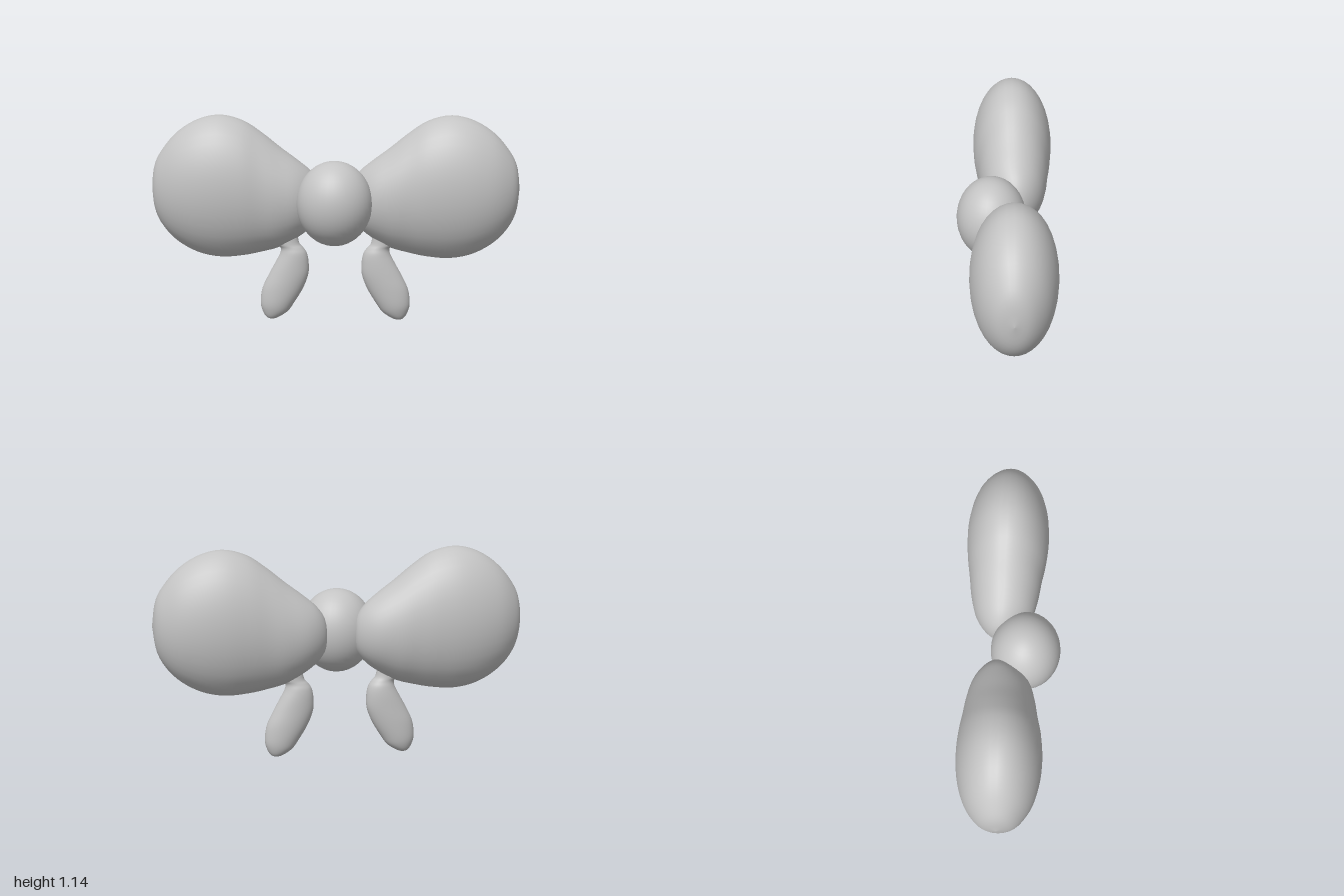
import * as THREE from 'three';

// Smooth loft through oval sections [t, aMin, aMax, bMin, bMax].
// place(t, a, b) gives the point; flip reverses the winding.
function loft(sections, place, flip, steps = 44, sides = 36) {
  const curve = (i, j) => new THREE.CatmullRomCurve3(
    sections.map((s) => new THREE.Vector3(s[0], s[i], s[j])), false, 'catmullrom', 0.5);
  const aCurve = curve(1, 2), bCurve = curve(3, 4);
  const pos = [], index = [];
  for (let i = 0; i <= steps; i++) {
    const p = aCurve.getPoint(i / steps), q = bCurve.getPoint(i / steps);
    for (let j = 0; j < sides; j++) {
      const w = (j / sides) * Math.PI * 2;
      pos.push(...place(p.x,
        (p.y + p.z) / 2 + ((p.z - p.y) / 2) * Math.cos(w),
        (q.y + q.z) / 2 + ((q.z - q.y) / 2) * Math.sin(w)));
    }
  }
  for (let i = 0; i < steps; i++) {
    for (let j = 0; j < sides; j++) {
      const a = i * sides + j, b = i * sides + (j + 1) % sides;
      const c = a + sides, d = b + sides;
      if (flip) index.push(a, c, b, b, c, d);
      else index.push(a, b, c, b, d, c);
    }
  }
  const geo = new THREE.BufferGeometry();
  geo.setAttribute('position', new THREE.Float32BufferAttribute(pos, 3));
  geo.setIndex(index);
  geo.computeVertexNormals();
  return geo;
}

// Lobe sections along x: x, bottom, top, back, front
const lobeSections = [
  [0.075, 0.67, 0.67, -0.07, -0.07],
  [0.085, 0.59, 0.76, -0.115, -0.01],
  [0.13, 0.525, 0.83, -0.165, 0.05],
  [0.2, 0.47, 0.89, -0.205, 0.105],
  [0.3, 0.415, 0.965, -0.23, 0.135],
  [0.4, 0.387, 1.045, -0.243, 0.152],
  [0.5, 0.367, 1.11, -0.257, 0.172],
  [0.62, 0.358, 1.14, -0.264, 0.181],
  [0.74, 0.38, 1.117, -0.253, 0.172],
  [0.85, 0.437, 1.052, -0.222, 0.142],
  [0.93, 0.515, 0.965, -0.173, 0.095],
  [0.98, 0.61, 0.875, -0.115, 0.04],
  [1.0, 0.745, 0.745, -0.04, -0.04],
];

// Tail sections along y: y, inner x, outer x, back, front
const tailSections = [
  [0.005, 0.352, 0.352, -0.04, -0.04],
  [0.015, 0.315, 0.38, -0.07, -0.012],
  [0.05, 0.262, 0.402, -0.09, 0.008],
  [0.1, 0.226, 0.413, -0.1, 0.02],
  [0.18, 0.178, 0.402, -0.105, 0.025],
  [0.26, 0.148, 0.365, -0.105, 0.025],
  [0.33, 0.146, 0.327, -0.103, 0.022],
  [0.38, 0.156, 0.302, -0.097, 0.017],
  [0.41, 0.175, 0.3, -0.088, 0.01],
  [0.44, 0.198, 0.325, -0.085, 0.008],
  [0.52, 0.21, 0.34, -0.085, 0.008],
];

export function createModel() {
  const group = new THREE.Group();
  const grey = new THREE.MeshStandardMaterial({ color: 0xc4c4c4 });
  grey.name = 'light grey';
  const add = (geo, name) => {
    const mesh = new THREE.Mesh(geo, grey);
    mesh.name = name;
    group.add(mesh);
    return mesh;
  };

  // Mirrored lobes and hanging tails
  for (const side of [1, -1]) {
    const label = side > 0 ? 'left' : 'right';
    add(loft(lobeSections, (x, y, z) => [x * side, y, z], side < 0), label + 'Lobe');
    add(loft(tailSections, (y, x, z) => [x * side, y, z], side > 0), label + 'Tail');
  }

  // Central knot
  const knot = add(new THREE.SphereGeometry(1, 36, 24), 'knot');
  knot.scale.set(0.204, 0.23, 0.187);
  knot.position.set(0, 0.675, 0.075);
  return group;
}
